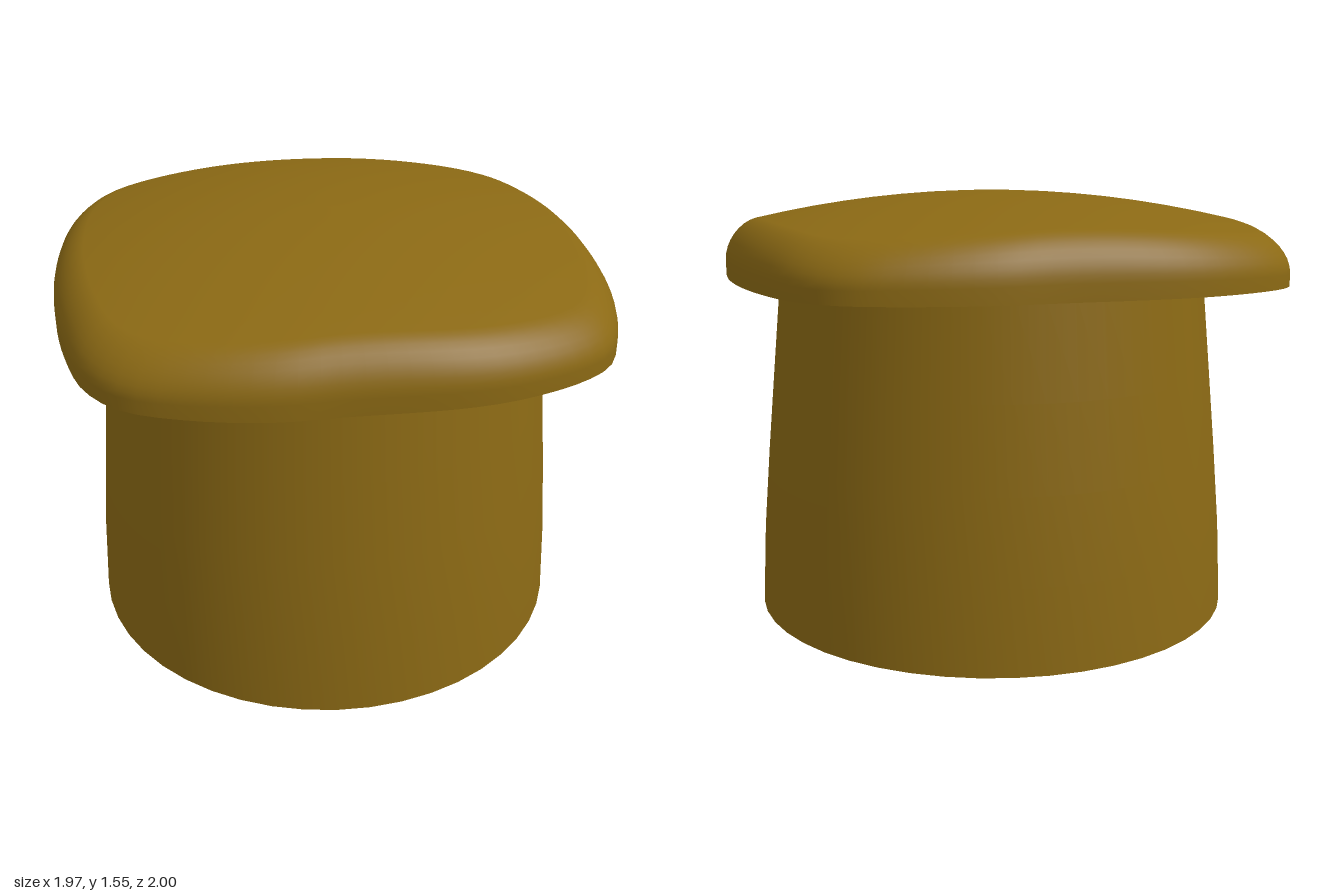
import * as THREE from 'three';

const CAP_BASE = 1.24;
const SEGMENTS = 96;

// Half of the cap outline as (x, z); the other half is the same turned by 180 degrees
const HALF_OUTLINE = [
  [0.2, -1], [0.45, -0.975], [0.66, -0.905], [0.785, -0.775], [0.876, -0.55],
  [0.945, -0.27], [0.982, 0.05], [0.975, 0.4], [0.9, 0.67], [0.8, 0.775],
  [0.6, 0.882], [0.4, 0.94], [0, 0.98],
];

function capOutline() {
  const turned = HALF_OUTLINE.map(([x, z]) => [-x, -z]);
  const points = [...HALF_OUTLINE, ...turned].map(([x, z]) => new THREE.Vector3(x, 0, z));
  return new THREE.CatmullRomCurve3(points, true).getSpacedPoints(SEGMENTS).slice(0, SEGMENTS);
}

// Skins scaled copies of the outline; each ring is [scale, height(radius)]
function addRings(rings, outline, positions, indices) {
  const start = positions.length / 3;
  rings.forEach(([scale, height], i) => {
    outline.forEach((p, j) => {
      const x = p.x * scale, z = p.z * scale;
      positions.push(x, height(Math.hypot(x, z)), z);
      if (i === rings.length - 1) return;
      const a = start + i * SEGMENTS + j;
      const b = start + i * SEGMENTS + (j + 1) % SEGMENTS;
      indices.push(a, a + SEGMENTS, b, b, a + SEGMENTS, b + SEGMENTS);
    });
  });
}

function capGeometry() {
  const outline = capOutline();
  const positions = [], indices = [];
  const dome = (r) => 1.555 - 0.13 * r * r;
  const base = () => CAP_BASE;

  // Flat underside, kept separate for a sharp rim
  addRings([[0, base], [1, base]], outline, positions, indices);

  // Upright rim, rounded shoulder, shallow dome
  const rings = [[1, base]];
  for (let i = 0; i <= 8; i++) {
    const a = (i / 8) * Math.PI / 2;
    const lift = 0.3 + 0.7 * Math.sin(a);
    rings.push([1 - 0.12 * (1 - Math.cos(a)), (r) => CAP_BASE + (dome(r) - CAP_BASE) * lift]);
  }
  for (let i = 7; i >= 0; i--) rings.push([0.88 * i / 8, dome]);
  addRings(rings, outline, positions, indices);

  const geometry = new THREE.BufferGeometry();
  geometry.setAttribute('position', new THREE.Float32BufferAttribute(positions, 3));
  geometry.setIndex(indices);
  geometry.computeVertexNormals();
  return geometry;
}

export function createModel() {
  const group = new THREE.Group();
  const material = new THREE.MeshStandardMaterial({ color: 0x8b6914 });
  const add = (name, geometry) => {
    const mesh = new THREE.Mesh(geometry, material);
    mesh.name = name;
    group.add(mesh);
    return mesh;
  };

  // Gently tapering round stem
  const profile = [[0.895, 0], [0.88, 0.3], [0.855, 0.6], [0.827, 0.9], [0.795, CAP_BASE]];
  add('stem', new THREE.LatheGeometry(profile.map(([r, y]) => new THREE.Vector2(r, y)), 48));
  add('stemBottom', new THREE.CircleGeometry(0.895, 48)).rotation.x = Math.PI / 2;

  // Overhanging, softly squared cap
  add('cap', capGeometry());
  return group;
}
